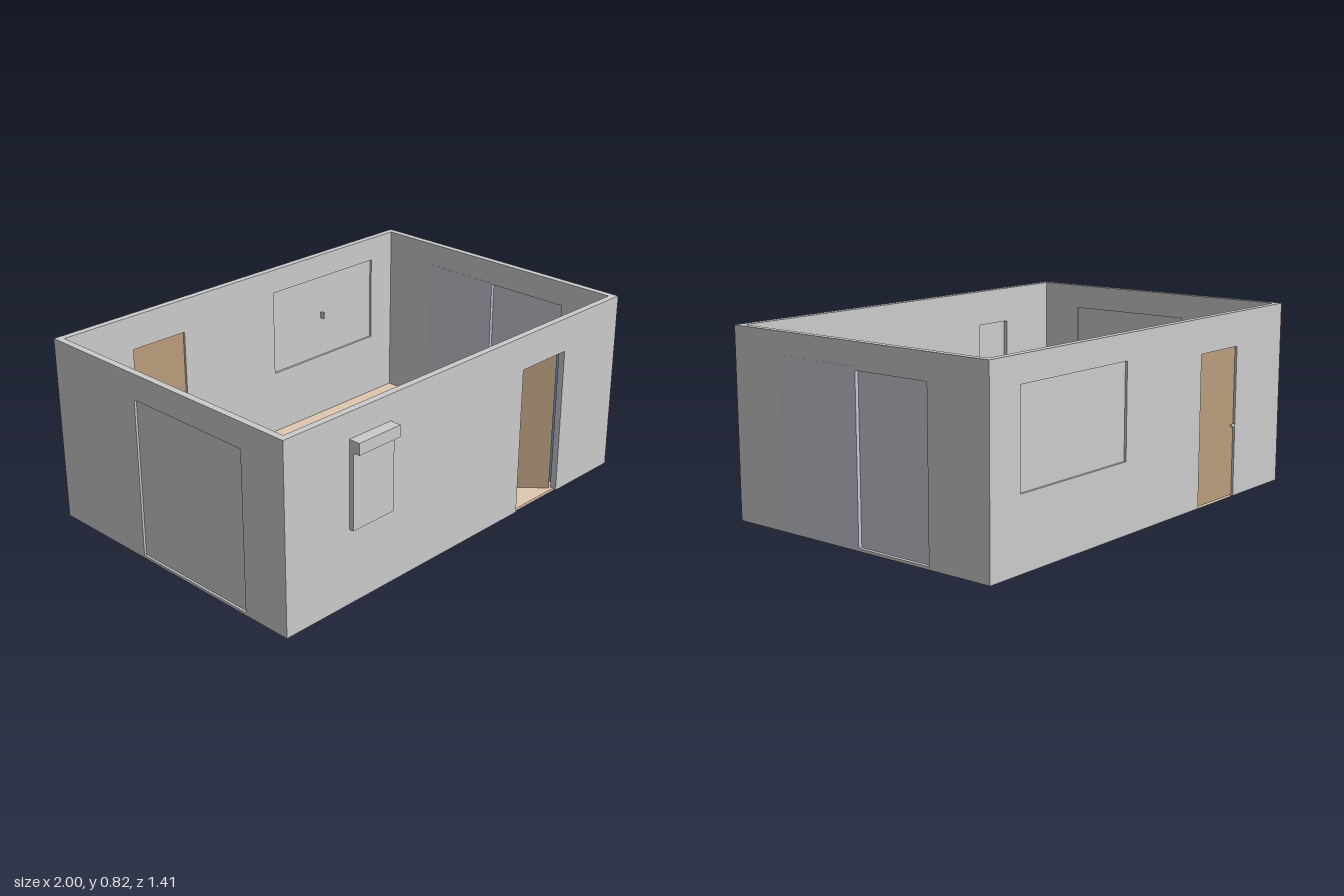
import * as THREE from 'three';

const H = 0.82, T = 0.03, Y0 = 0.008;
const mat = (color) => new THREE.MeshStandardMaterial({ color });
const grey = mat(0xcccccc), wood = mat(0xba9d7d), floorWood = mat(0xdfc8b0);
const glass = mat(0xc6c9d4), blue = mat(0x7aa5e6), fabric = mat(0xa9b5cc), tableWood = mat(0xd0b392);

// Box given by its minimum and maximum corners
function box(parent, name, [x0, y0, z0], [x1, y1, z1], material = grey) {
  const mesh = new THREE.Mesh(new THREE.BoxGeometry(x1 - x0, y1 - y0, z1 - z0), material);
  mesh.position.set((x0 + x1) / 2, (y0 + y1) / 2, (z0 + z1) / 2);
  mesh.name = name;
  parent.add(mesh);
  return mesh;
}

// Wall panel in its own plane: optional doorway [u0, u1, top], windows [u0, u1, y0, y1]
function wallGeometry(u0, u1, door, windows) {
  const shape = new THREE.Shape();
  shape.moveTo(u0, Y0);
  if (door) {
    shape.lineTo(door[0], Y0);
    shape.lineTo(door[0], door[2]);
    shape.lineTo(door[1], door[2]);
    shape.lineTo(door[1], Y0);
  }
  shape.lineTo(u1, Y0);
  shape.lineTo(u1, H);
  shape.lineTo(u0, H);
  shape.closePath();
  for (const [a, b, c, d] of windows) {
    const hole = new THREE.Path();
    hole.moveTo(a, c);
    hole.lineTo(a, d);
    hole.lineTo(b, d);
    hole.lineTo(b, c);
    hole.closePath();
    shape.holes.push(hole);
  }
  return new THREE.ExtrudeGeometry(shape, { depth: T, bevelEnabled: false });
}

// Door leaf hinged at its origin, reaching along +x, with a knob on both sides
function doorLeaf(name, width, height) {
  const door = new THREE.Group();
  door.name = name;
  box(door, 'doorPanel', [0, 0.012, -0.005], [width, height, 0.005], wood);
  for (const s of [-1, 1]) {
    const stem = new THREE.Mesh(new THREE.CylinderGeometry(0.004, 0.004, 0.012, 10), grey);
    stem.rotation.x = Math.PI / 2;
    stem.position.set(width - 0.02, 0.325, s * 0.01);
    stem.name = 'knobStem';
    const knob = new THREE.Mesh(new THREE.SphereGeometry(0.009, 12, 8), grey);
    knob.position.set(width - 0.02, 0.325, s * 0.018);
    knob.name = 'doorKnob';
    door.add(stem, knob);
  }
  return door;
}

export function createModel() {
  const model = new THREE.Group();
  model.name = 'room';

  box(model, 'floor', [-0.985, 0, -0.685], [0.985, 0.012, 0.63], floorWood);

  // Four walls with their openings
  const addWall = (name, geometry, x, z) => {
    const wall = new THREE.Mesh(geometry, grey);
    wall.position.set(x, 0, z);
    wall.name = name;
    model.add(wall);
  };
  addWall('frontWall', wallGeometry(-1, 1, [0.35, 0.63, 0.67], [[-0.66, -0.46, 0.345, 0.66]]), 0, 0.615);
  addWall('backWall', wallGeometry(-1, 1, [-0.63, -0.35, 0.67], [[0.18, 0.83, 0.31, 0.71]]), 0, -0.7);
  const side = (win) => wallGeometry(-0.67, 0.615, null, [win]).rotateY(-Math.PI / 2);
  addWall('leftWall', side([-0.405, 0.37, 0.02, 0.71]), 1, 0);
  addWall('rightWall', side([-0.19, 0.42, 0.02, 0.71]), -0.97, 0);

  // Sliding glass door, one panel outside and one inside
  box(model, 'slidingPanelOuter', [0.985, 0.01, -0.04], [1.001, 0.725, 0.375], glass);
  box(model, 'slidingPanelInner', [0.969, 0.015, -0.405], [0.985, 0.715, -0.03], glass);
  box(model, 'sidePanel', [-0.99, 0.015, -0.195], [-0.98, 0.715, 0.425]);

  // Back window with a small handle inside
  box(model, 'backWindow', [0.175, 0.305, -0.69], [0.835, 0.715, -0.68]);
  box(model, 'windowHandle', [0.49, 0.5, -0.68], [0.5, 0.53, -0.66]);

  // Front window with its shutter box
  box(model, 'frontShutter', [-0.67, 0.335, 0.635], [-0.45, 0.66, 0.665]);
  box(model, 'shutterBox', [-0.67, 0.66, 0.64], [-0.45, 0.71, 0.695]);

  // Doors: the front one stands open into the room
  const frontDoor = doorLeaf('frontDoor', 0.262, 0.665);
  frontDoor.position.set(0.622, 0, 0.612);
  frontDoor.rotation.y = Math.PI - Math.atan2(0.19, 0.17);
  const backDoor = doorLeaf('backDoor', 0.28, 0.67);
  backDoor.position.set(-0.35, 0, -0.685);
  backDoor.rotation.y = Math.PI;
  model.add(frontDoor, backDoor);

  // Sofa with an L-shaped section, facing the back of the room
  const sofa = new THREE.Group();
  sofa.name = 'sofa';
  box(sofa, 'sofaSeat', [-0.33, 0.012, 0.14], [0.33, 0.15, 0.335], fabric);
  box(sofa, 'sofaBack', [-0.33, 0.012, 0.335], [0.33, 0.28, 0.4], fabric);
  model.add(sofa);

  // Low table
  const table = new THREE.Group();
  table.name = 'table';
  box(table, 'tableTop', [-0.165, 0.125, -0.355], [0.16, 0.145, -0.1], tableWood);
  for (const x of [-0.165, 0.14])
    for (const z of [-0.355, -0.12])
      box(table, 'tableLeg', [x, 0.012, z], [x + 0.02, 0.125, z + 0.02], tableWood);
  model.add(table);

  // Wardrobe with a pair of handles
  const wardrobe = new THREE.Group();
  wardrobe.name = 'wardrobe';
  box(wardrobe, 'wardrobeBody', [0.67, 0.012, 0.415], [0.915, 0.66, 0.605], blue);
  for (const x of [0.779, 0.797])
    box(wardrobe, 'wardrobeHandle', [x, 0.32, 0.4], [x + 0.009, 0.41, 0.415], blue);
  model.add(wardrobe);

  return model;
}
